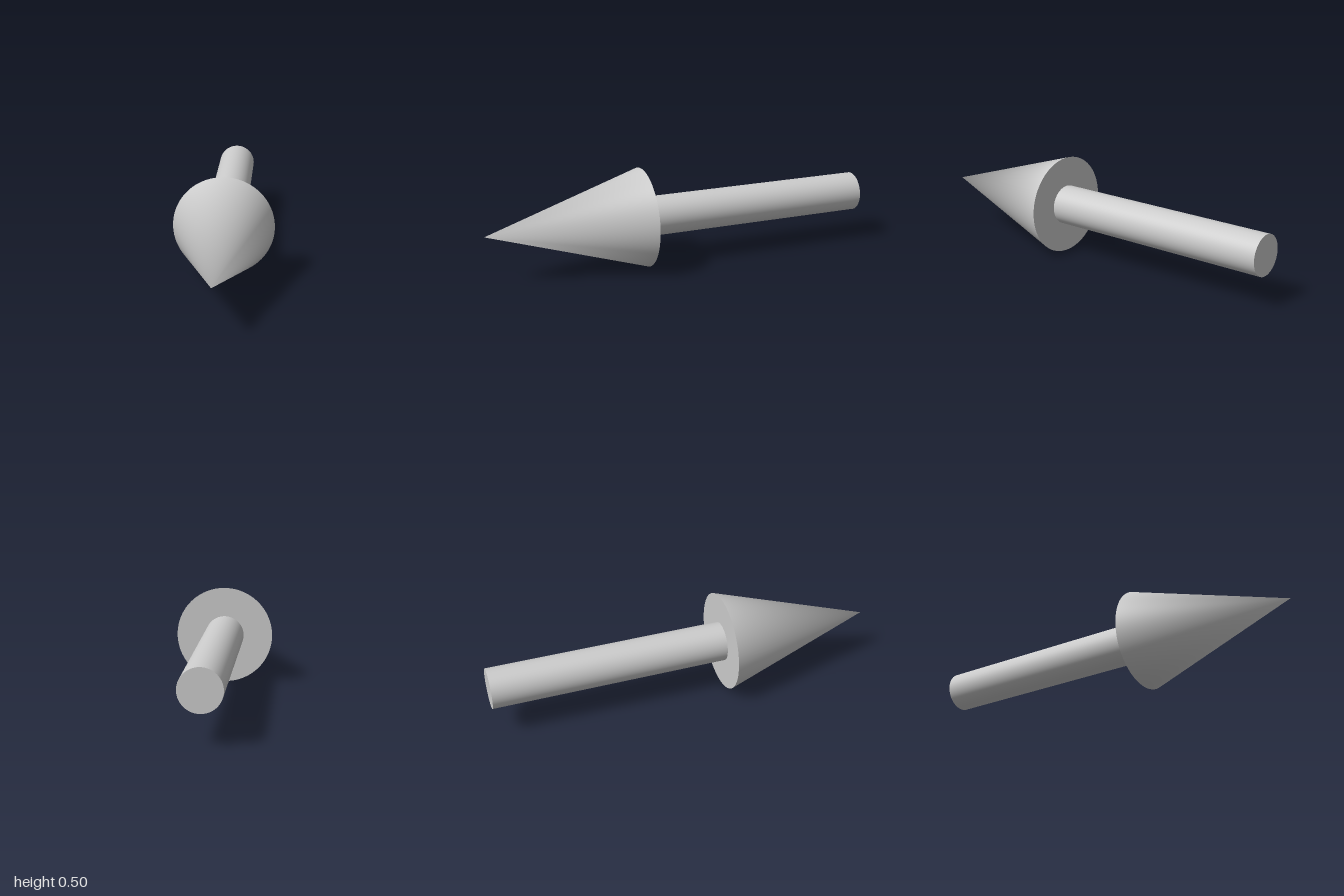
import * as THREE from 'three';

const AXIS_HEIGHT = 0.25;
const SEGMENTS = 96;

export function createModel() {
  const model = new THREE.Group();
  model.name = 'arrow';
  const material = new THREE.MeshStandardMaterial({ color: 0xcccccc });

  // Lays a geometry built along +y down along +z, spanning zBack to zFront
  const addPart = (name, geometry, zBack, zFront) => {
    geometry.rotateX(Math.PI / 2);
    geometry.translate(0, AXIS_HEIGHT, (zBack + zFront) / 2);
    const mesh = new THREE.Mesh(geometry, material);
    mesh.name = name;
    model.add(mesh);
  };

  // Shaft: round rod with flat ends
  addPart('shaft', new THREE.CylinderGeometry(0.1, 0.1, 1.2, SEGMENTS), -1, 0.2);

  // Head: closed cone whose normals blend smoothly to the axis at the tip
  const cone = new THREE.ConeGeometry(0.25, 0.8, SEGMENTS);
  const { position, normal } = cone.attributes;
  for (let i = 0; i < position.count; i++) {
    if (position.getY(i) > 0.39) normal.setXYZ(i, 0, 1, 0);
  }
  addPart('head', cone, 0.2, 1);

  return model;
}
